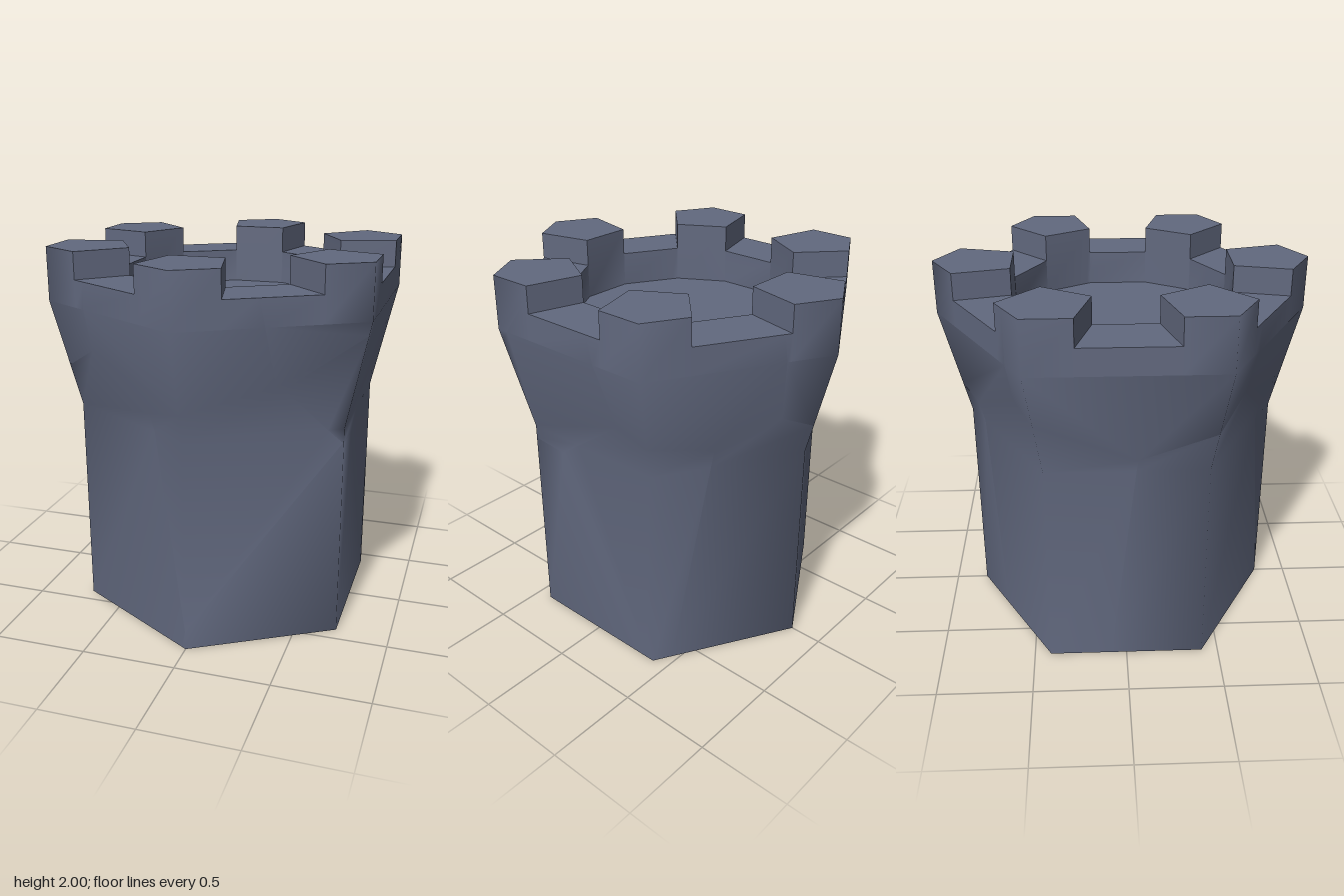
import * as THREE from 'three';
import { toCreasedNormals } from 'three/addons/utils/BufferGeometryUtils.js';

const V = (x, y, z) => new THREE.Vector3(x, y, z);
const stone = new THREE.MeshStandardMaterial({ color: 0x62697f });
stone.name = 'slate stone';

// Heights and corner radii of the hexagonal tower
const WAIST = 1.15, FLARE = 1.72, LEDGE = 1.86, TOP = 2, FLOOR = 1.68;
const R_BASE = 0.825, R_TOP = 0.97, R_WELL = 0.58, WELL_HALF = 0.245;

// One centre per stone shard
const shards = {
  frontLeftShard: V(-0.45, 0.8, 0.45),
  frontTopShard: V(0.1, 1.75, 0.75),
  frontSliver: V(0.3, 0.95, 0.7),
  leftFrontShard: V(0.55, 0.6, 0.3),
  frontCornerShard: V(0.6, 1.85, 0.6),
  leftTopShard: V(0.65, 1.55, 0.22),
  leftBackShard: V(0.6, 0.9, -0.25),
  backShard: V(0.25, 0.8, -0.75),
  backCornerShard: V(0.6, 1.75, -0.6),
  backRightShard: V(-0.5, 0.9, -0.45),
  backTopShard: V(-0.2, 1.85, -0.85),
  rightTopShard: V(-0.78, 1.85, 0.0),
};

// Convex outer faces of the whole tower, each wound to face `out`
function towerFaces() {
  const faces = [];
  const add = (out, ...pts) => {
    const n = pts[1].clone().sub(pts[0]).cross(pts[2].clone().sub(pts[0]));
    faces.push(n.dot(out) < 0 ? pts.reverse() : pts);
  };
  const at = (angle, r, y) => V(Math.sin(angle) * r, y, Math.cos(angle) * r);
  const raise = (p, y) => V(p.x, y, p.z);
  const wall = (out, p, q, y0, y1) => add(out, raise(p, y0), raise(q, y0), raise(q, y1), raise(p, y1));
  const up = V(0, 1, 0), well = [], base = [];

  for (let k = 0; k < 6; k++) {
    const a = k * Math.PI / 3, b = a + Math.PI / 3;
    const out = at(a + Math.PI / 6, 1, 0), outA = at(a, 1, 0);
    const inward = out.clone().negate();

    // Shaft and flared neck
    wall(out, at(a, R_BASE, 0), at(b, R_BASE, 0), 0, WAIST);
    add(out, at(a, R_BASE, WAIST), at(b, R_BASE, WAIST), at(b, R_TOP, FLARE), at(a, R_TOP, FLARE));
    base.push(at(a, R_BASE, 0));

    // Parapet: half a merlon, a gap, half a merlon
    const c0 = at(a, R_TOP, TOP), c1 = at(b, R_TOP, TOP);
    const g0 = c0.clone().lerp(c1, 0.25), g1 = c0.clone().lerp(c1, 0.75);
    const prev = c0.clone().lerp(at(a - Math.PI / 3, R_TOP, TOP), 0.25);
    wall(out, c0, g0, FLARE, TOP);
    wall(out, g0, g1, FLARE, LEDGE);
    wall(out, g1, c1, FLARE, TOP);

    // Merlon top, gap ledge and well walls
    const i0 = at(a - WELL_HALF, R_WELL, TOP), i1 = at(a + WELL_HALF, R_WELL, TOP);
    const i2 = at(b - WELL_HALF, R_WELL, TOP);
    add(up, i0, prev, c0, g0, i1);
    add(up, raise(i1, LEDGE), raise(g0, LEDGE), raise(g1, LEDGE), raise(i2, LEDGE));
    wall(outA.clone().negate(), i0, i1, FLOOR, TOP);
    wall(inward, i1, i2, FLOOR, LEDGE);
    well.push(raise(i0, FLOOR), raise(i1, FLOOR));

    // Merlon cheeks
    const along = g1.clone().sub(g0);
    wall(along, i1, g0, LEDGE, TOP);
    wall(along.clone().negate(), i2, g1, LEDGE, TOP);
  }
  add(up, ...well);
  add(V(0, -1, 0), ...base);
  return faces;
}

// Keep the part of a convex polygon on the negative side of a plane
function clip(poly, plane) {
  const result = [];
  poly.forEach((p, i) => {
    const q = poly[(i + 1) % poly.length];
    const dp = plane.distanceToPoint(p), dq = plane.distanceToPoint(q);
    if (dp <= 0) result.push(p);
    if ((dp < 0 && dq > 0) || (dp > 0 && dq < 0)) result.push(p.clone().lerp(q, dp / (dp - dq)));
  });
  return result;
}

// Surface nearest to one shard centre, smoothed within that shard only
function shardGeometry(faces, centre, others) {
  const planes = others.map((o) => new THREE.Plane().setFromNormalAndCoplanarPoint(
    o.clone().sub(centre).normalize(), o.clone().add(centre).multiplyScalar(0.5)));
  const positions = [];
  for (const face of faces) {
    const poly = planes.reduce((p, plane) => clip(p, plane), face);
    for (let i = 1; i + 1 < poly.length; i++) {
      const tri = new THREE.Triangle(poly[0], poly[i], poly[i + 1]);
      if (tri.getArea() < 1e-7) continue;
      for (const p of [tri.a, tri.b, tri.c]) positions.push(p.x, p.y, p.z);
    }
  }
  const geometry = new THREE.BufferGeometry();
  geometry.setAttribute('position', new THREE.Float32BufferAttribute(positions, 3));
  return toCreasedNormals(geometry, 1.1);
}

export function createModel() {
  const tower = new THREE.Group();
  tower.name = 'crackedTower';
  const faces = towerFaces();
  const centres = Object.values(shards);
  for (const [name, centre] of Object.entries(shards)) {
    const geometry = shardGeometry(faces, centre, centres.filter((c) => c !== centre));
    const mesh = new THREE.Mesh(geometry, stone);
    mesh.name = name;
    tower.add(mesh);
  }
  return tower;
}
